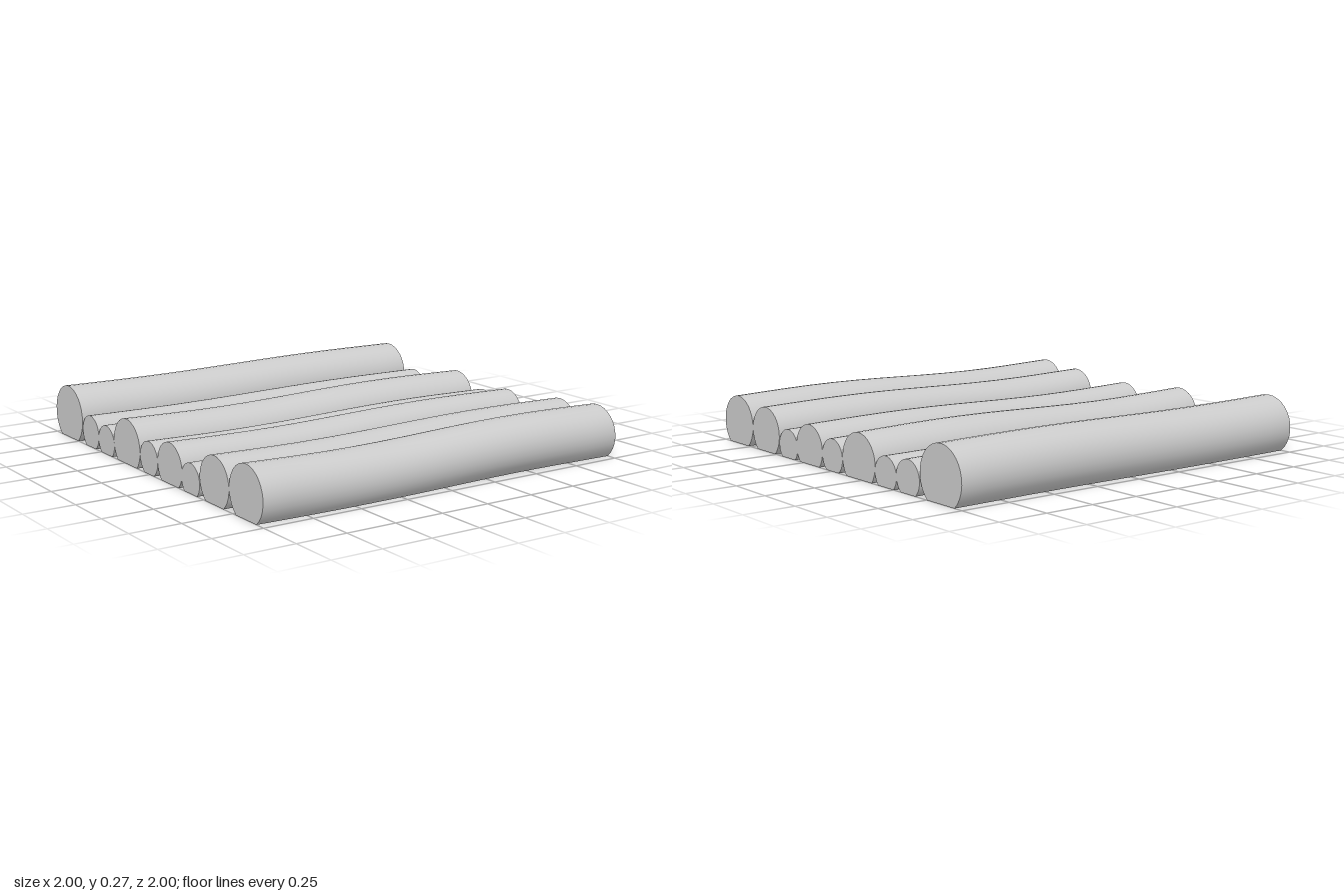
import * as THREE from 'three';

const ARC = 24, STEPS = 14;

// One log along x: round on top, cut flat at y = 0, gently uneven along its length
function logGeometry(z, radius, top, sway) {
  const positions = [], index = [];
  const ring = (x) => {
    const wave = sway * Math.sin(Math.PI * 1.1 * x);
    const cy = top - radius + wave;
    const cut = Math.asin(cy / radius);
    return Array.from({ length: ARC + 1 }, (_, j) => {
      const t = -cut + (Math.PI + 2 * cut) * j / ARC;
      return [x, Math.max(0, cy + radius * Math.sin(t)), z + radius * Math.cos(t)];
    });
  };
  const rings = Array.from({ length: STEPS + 1 }, (_, i) => ring(-1 + 2 * i / STEPS));
  const add = (p) => positions.push(...p) / 3 - 1;

  // skin between neighbouring rings; columns share vertices so they shade smoothly
  const strip = (rows) => {
    const ids = rows.map((row) => row.map(add));
    for (let i = 0; i < ids.length - 1; i++) {
      for (let j = 0; j < ids[i].length - 1; j++) {
        const a = ids[i][j], b = ids[i + 1][j], c = ids[i + 1][j + 1], d = ids[i][j + 1];
        index.push(a, b, c, a, c, d);
      }
    }
  };
  strip(rings);                              // rounded bark
  strip(rings.map((r) => [r[ARC], r[0]]));   // flat underside

  // sawn ends
  for (const [r, right] of [[rings[0], false], [rings[STEPS], true]]) {
    const ids = r.map(add);
    for (let j = 1; j < ARC; j++) {
      if (right) index.push(ids[0], ids[j + 1], ids[j]);
      else index.push(ids[0], ids[j], ids[j + 1]);
    }
  }

  const geometry = new THREE.BufferGeometry();
  geometry.setAttribute('position', new THREE.Float32BufferAttribute(positions, 3));
  geometry.setIndex(index);
  geometry.computeVertexNormals();
  return geometry;
}

export function createModel() {
  const group = new THREE.Group();
  group.name = 'logFloor';
  const material = new THREE.MeshStandardMaterial({ color: 0xcccccc });

  // z centre, radius, top height, unevenness; front to back
  const logs = [
    [0.86, 0.138, 0.245, 0.01],
    [0.595, 0.126, 0.223, 0.008],
    [0.385, 0.083, 0.142, 0.004],
    [0.195, 0.115, 0.195, 0.008],
    [-0.005, 0.086, 0.157, 0.008],
    [-0.225, 0.133, 0.219, 0.009],
    [-0.44, 0.084, 0.144, 0.002],
    [-0.61, 0.088, 0.158, 0.005],
    [-0.85, 0.15, 0.265, 0.005],
  ];
  logs.forEach((spec, i) => {
    const mesh = new THREE.Mesh(logGeometry(...spec), material);
    mesh.name = `log${i + 1}`;
    group.add(mesh);
  });
  return group;
}
